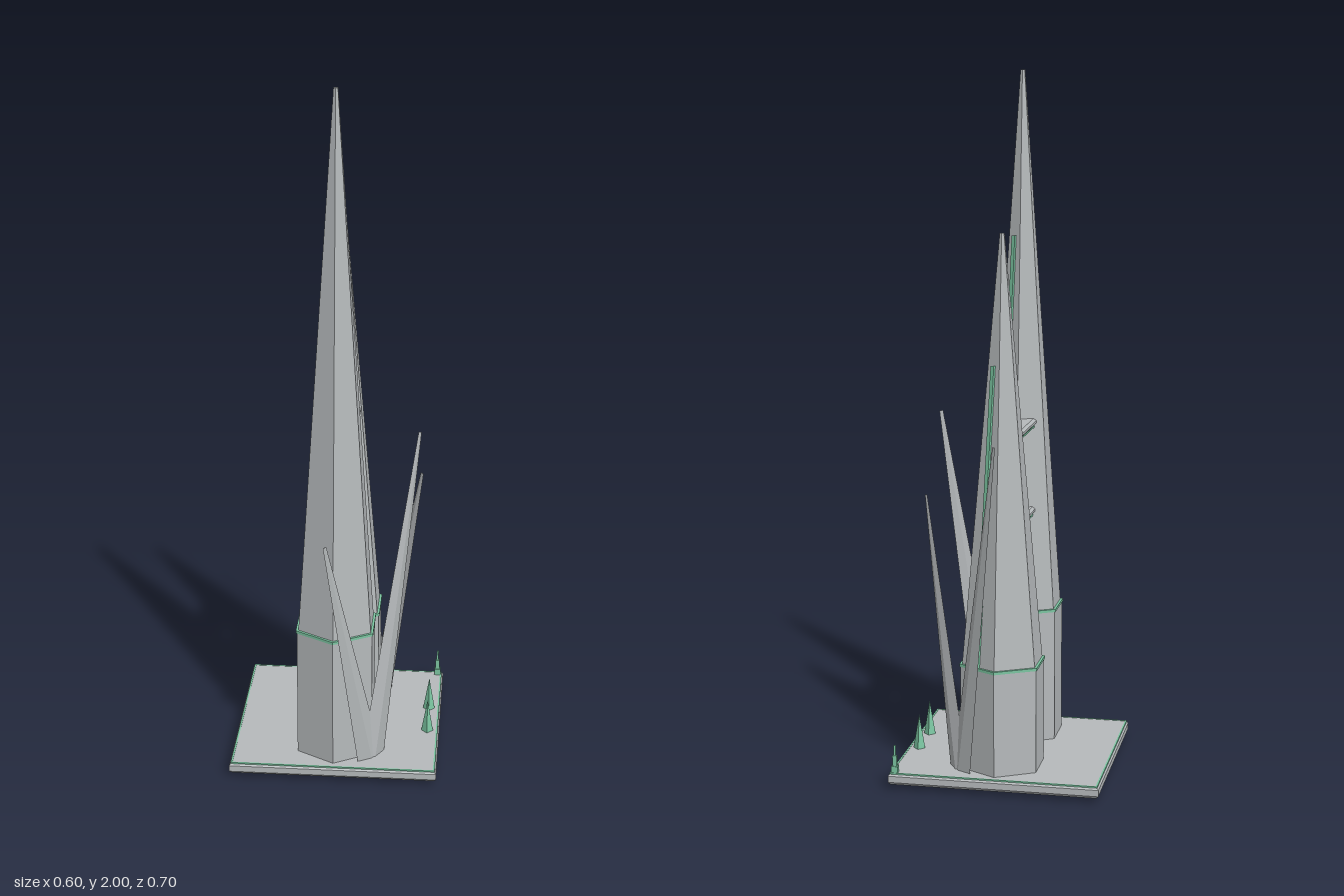
import * as THREE from 'three';

const grey = new THREE.MeshStandardMaterial({ color: 0xb6babc, flatShading: true });
grey.name = 'pale grey';
const green = new THREE.MeshStandardMaterial({ color: 0x7cc6a2, flatShading: true });
green.name = 'soft green';

function part(parent, name, geometry, material, x = 0, y = 0, z = 0) {
  const mesh = new THREE.Mesh(geometry, material);
  mesh.name = name;
  mesh.position.set(x, y, z);
  parent.add(mesh);
  return mesh;
}

// Straight-sided frustum standing between two heights
function frustum(parent, name, material, sides, rTop, rBottom, y0, y1, x = 0, z = 0) {
  const geo = new THREE.CylinderGeometry(rTop, rBottom, y1 - y0, sides);
  return part(parent, name, geo, material, x, (y0 + y1) / 2, z);
}

function square(h, Type = THREE.Shape) {
  const s = new Type();
  s.moveTo(-h, -h);
  s.lineTo(h, -h);
  s.lineTo(h, h);
  s.lineTo(-h, h);
  s.closePath();
  return s;
}

// Bevelled ground slab with a thin green border
function addBase(model) {
  const slab = new THREE.ExtrudeGeometry(square(0.293), {
    depth: 0.018, bevelThickness: 0.008, bevelSize: 0.007, bevelSegments: 1,
  });
  slab.rotateX(-Math.PI / 2);
  part(model, 'base', slab, grey, 0, 0.02, 0);

  const frame = square(0.296);
  frame.holes.push(square(0.291, THREE.Path));
  const border = new THREE.ExtrudeGeometry(frame, { depth: 0.004, bevelEnabled: false });
  border.rotateX(-Math.PI / 2);
  part(model, 'baseBorder', border, green, 0, 0.043, 0);
}

// Six-sided tower: prism, green ring, long spire and a green strip up one face
function addTower(model, name, z, shoulder, top) {
  const tower = new THREE.Group();
  tower.name = name;
  tower.position.z = z;
  model.add(tower);
  frustum(tower, 'lowerPrism', grey, 6, 0.125, 0.125, 0.04, shoulder - 0.006);
  frustum(tower, 'shoulderRing', green, 6, 0.128, 0.128, shoulder - 0.006, shoulder + 0.002);
  frustum(tower, 'spire', grey, 6, 0.007, 0.12, shoulder, top);

  const rise = (top - shoulder) * 0.7;
  const inner = 0.037, outer = 0.107;
  const side = new THREE.Group();
  side.name = 'stripMount';
  side.rotation.y = Math.PI * 5 / 6;
  tower.add(side);
  const geo = new THREE.BoxGeometry(0.012, Math.hypot(rise, outer - inner), 0.01);
  const strip = part(side, 'lightStrip', geo, green, 0, shoulder + rise / 2, (inner + outer) / 2);
  strip.rotation.x = -Math.atan2(outer - inner, rise);
}

// Bridge deck with bevelled edges and green underside
function addBridge(model, y, zBack, zFront) {
  const s = new THREE.Shape();
  s.moveTo(-0.043, -0.011);
  s.lineTo(0.043, -0.011);
  s.lineTo(0.05, -0.003);
  s.lineTo(0.05, 0.004);
  s.lineTo(0.043, 0.011);
  s.lineTo(-0.043, 0.011);
  s.lineTo(-0.05, 0.004);
  s.lineTo(-0.05, -0.003);
  s.closePath();
  const length = zFront - zBack;
  const deck = new THREE.ExtrudeGeometry(s, { depth: length, bevelEnabled: false });
  part(model, 'bridgeDeck', deck, grey, 0, y, zBack);
  part(model, 'bridgeUnderside', new THREE.BoxGeometry(0.09, 0.005, length), green,
    0, y - 0.0125, (zBack + zFront) / 2);
}

// Pair of thin leaning blades crossing at the foot
function addBlades(model, z, turn, longTop, shortTop) {
  const pair = new THREE.Group();
  pair.name = 'bladePair';
  pair.position.set(0.108, 0.01, z);
  pair.rotation.y = turn;
  model.add(pair);
  for (const [dx, top] of [[0.175, longTop], [-0.175, shortTop]]) {
    const rise = top - 0.01;
    const geo = new THREE.CylinderGeometry(0.006, 0.045, Math.hypot(dx, rise), 4);
    geo.scale(1, 1, 0.28);
    const blade = part(pair, 'blade', geo, grey, dx / 2, rise / 2, 0);
    blade.rotation.z = -Math.atan2(dx, rise);
  }
}

export function createModel() {
  const model = new THREE.Group();
  model.name = 'twinSpires';

  addBase(model);
  addTower(model, 'tallTower', 0.15, 0.44, 2);
  addTower(model, 'shortTower', -0.15, 0.35, 1.56);

  addBridge(model, 0.995, -0.12, 0.105);
  addBridge(model, 0.738, -0.1, 0.085);
  addBridge(model, 0.432, -0.07, 0.06);

  addBlades(model, 0.222, Math.PI / 4, 1.02, 0.77);
  addBlades(model, -0.222, Math.PI * 3 / 4, 1.0, 0.81);

  // Small green pyramids and a stepped corner marker
  for (const z of [0.065, -0.067]) {
    part(model, 'pyramid', new THREE.ConeGeometry(0.018, 0.105, 4), green, 0.265, 0.0955, z);
  }
  let y = 0.04;
  for (const [w, h] of [[0.019, 0.025], [0.012, 0.03], [0.006, 0.03]]) {
    part(model, 'cornerMarker', new THREE.BoxGeometry(w, h, w), green, 0.283, y + h / 2, -0.284);
    y += h;
  }
  return model;
}
